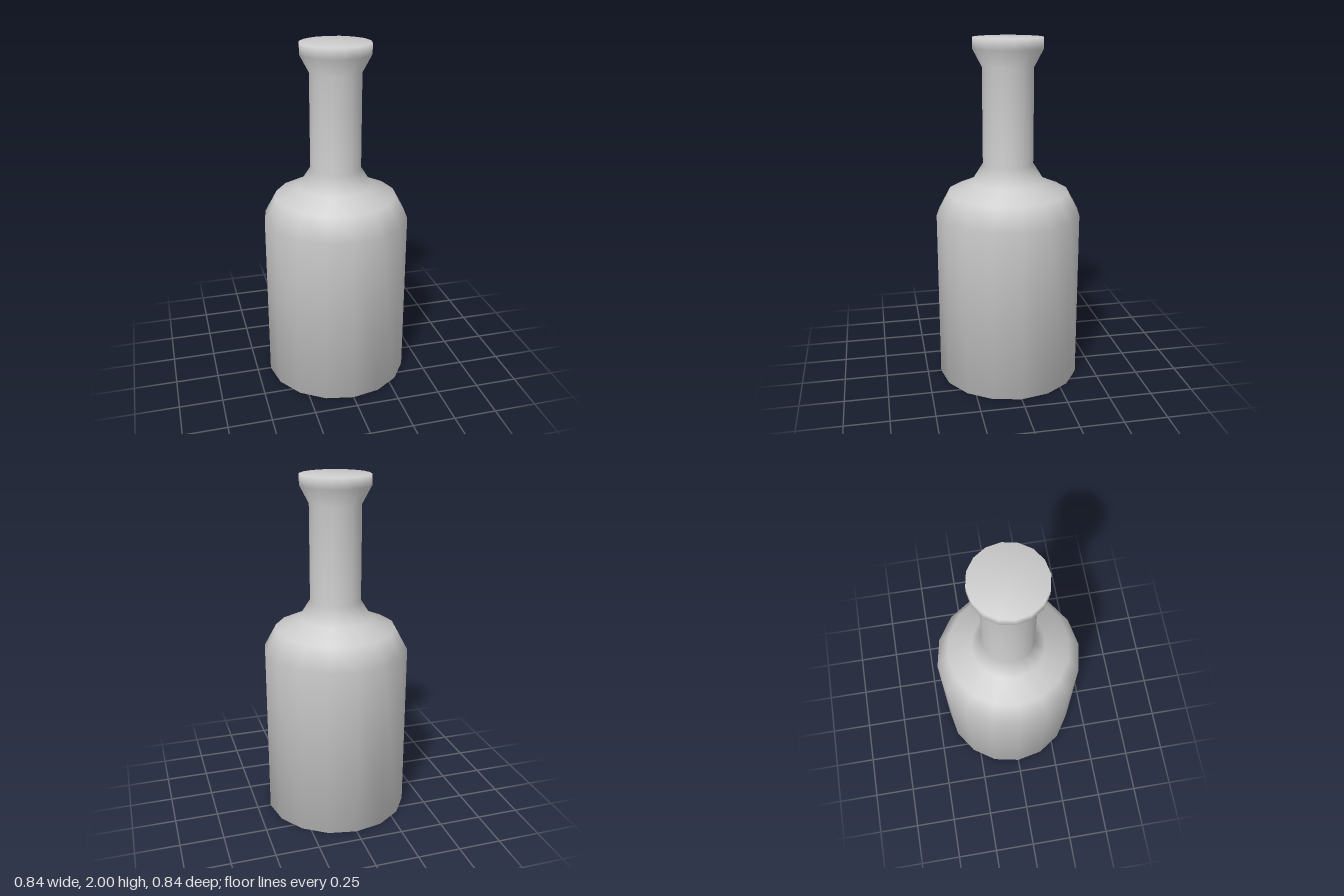
import * as THREE from 'three';

export function createModel() {
  const group = new THREE.Group();
  group.name = 'bottle';

  // Radius and height from the base centre up to the closed top
  const profile = [
    [0, 0], [0.42, 0],               // base
    [0.42, 1.0],                     // straight body
    [0.35, 1.13], [0.21, 1.19],      // shoulder
    [0.147, 1.29], [0.147, 1.84],    // neck
    [0.2, 1.94], [0.2, 2], [0, 2],   // flared lip and flat top
  ].map(([r, y]) => new THREE.Vector2(r, y));

  // Sixteen sides, smoothly shaded
  const body = new THREE.Mesh(
    new THREE.LatheGeometry(profile, 16),
    new THREE.MeshStandardMaterial({ color: 0xcccccc })
  );
  body.name = 'bottleBody';
  group.add(body);

  return group;
}
